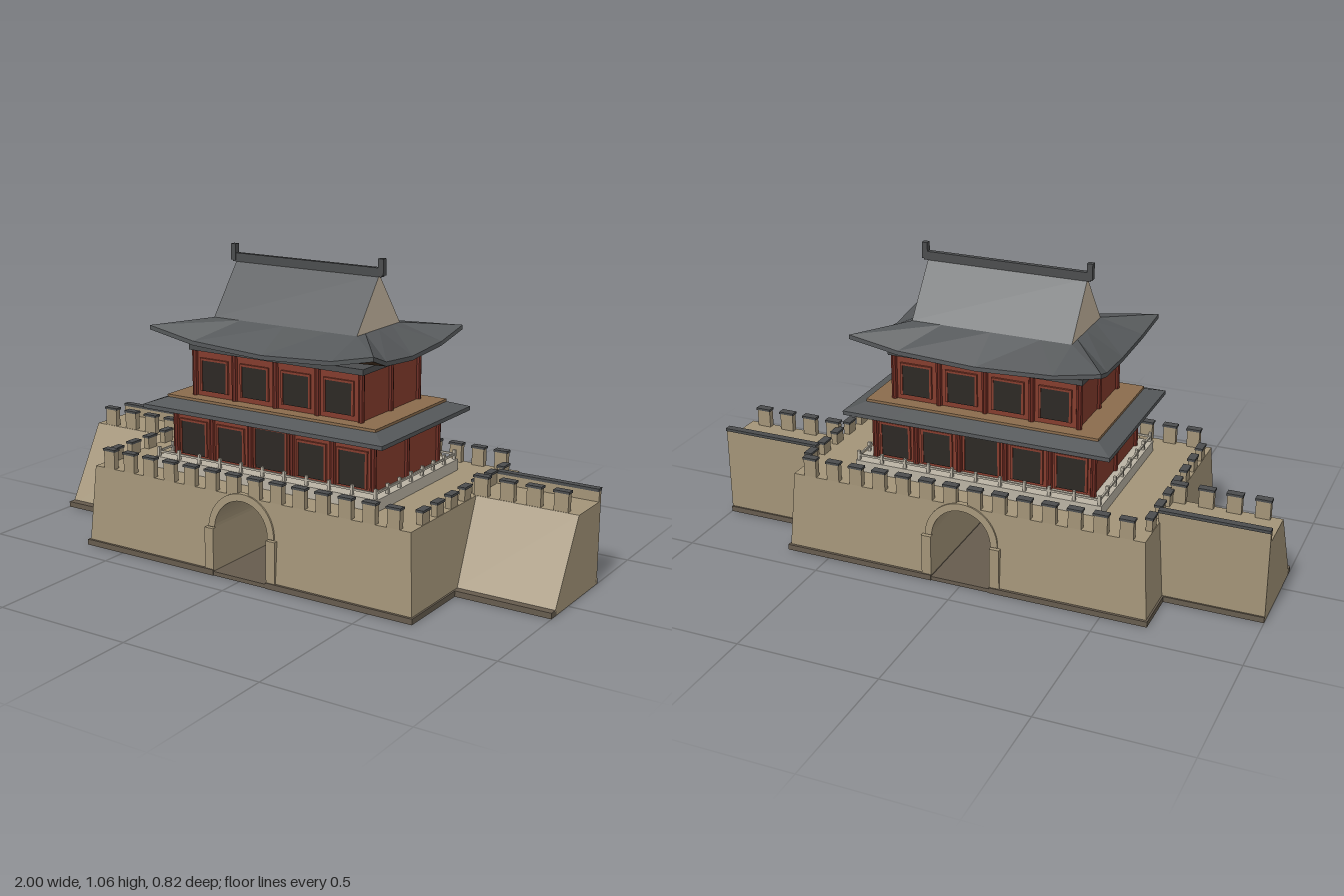
import * as THREE from 'three';

const mat = (color, side = THREE.FrontSide) => new THREE.MeshStandardMaterial({ color, side, flatShading: true });
const WALL_H = 0.29;

export function createModel() {
  const root = new THREE.Group();
  const M = {
    wall: mat(0xa39478), plinth: mat(0x665c4e), cap: mat(0x4b4d4e), stone: mat(0xbab3a4),
    red: mat(0x843c2d), column: mat(0x6b2a20), window: mat(0x2c2824), roof: mat(0x55585a),
    soffit: mat(0x46301f, THREE.DoubleSide), gable: mat(0xc9b9a3), deck: mat(0x8a6c4d),
  };
  const group = (name, parent = root) => {
    const g = new THREE.Group();
    g.name = name;
    parent.add(g);
    return g;
  };
  const add = (name, geo, m, parent = root) => {
    const mesh = new THREE.Mesh(geo, m);
    mesh.name = name;
    parent.add(mesh);
    return mesh;
  };
  // box given by its ranges on each axis
  const box = (name, [x0, x1], [y0, y1], [z0, z1], m, parent) =>
    add(name, new THREE.BoxGeometry(x1 - x0, y1 - y0, z1 - z0)
      .translate((x0 + x1) / 2, (y0 + y1) / 2, (z0 + z1) / 2), m, parent);
  // (z, y) profile extruded along x
  const extrudeX = (pts, x0, x1) => {
    const s = new THREE.Shape(pts.map(([z, y]) => new THREE.Vector2(-z, y)));
    return new THREE.ExtrudeGeometry(s, { depth: x1 - x0, bevelEnabled: false }).rotateY(Math.PI / 2).translate(x0, 0, 0);
  };
  // closed ring around the building; corners flare outward by f and lift
  const ring = (hx, hz, y, f = 0, lift = 0) => {
    const pts = [];
    for (let side = 0; side < 4; side++) {
      const [along, out] = side % 2 ? [hz, hx] : [hx, hz];
      for (const t of [-1, -0.62, 0, 0.62]) {
        const k = Math.abs(t) ** 2.5;
        pts.push(new THREE.Vector3(t * (along + f), y + lift * k, out + f * k)
          .applyAxisAngle(new THREE.Vector3(0, 1, 0), side * Math.PI / 2));
      }
    }
    return pts;
  };
  const loft = (rings) => {
    const n = rings[0].length, idx = [];
    for (let r = 0; r < rings.length - 1; r++) for (let i = 0; i < n; i++) {
      const a = r * n + i, b = r * n + (i + 1) % n;
      idx.push(a, b, b + n, a, b + n, a + n);
    }
    let g = new THREE.BufferGeometry().setFromPoints(rings.flat());
    g.setIndex(idx);
    g = g.toNonIndexed();
    g.computeVertexNormals();
    return g;
  };

  // Battered gate platform with an arched tunnel
  const wallZ = (y) => 0.4 - 0.02 * y / WALL_H;
  const R = 0.107, SPRING = 0.168;
  const s = new THREE.Shape();
  s.moveTo(-0.655, 0).lineTo(-R, 0).lineTo(-R, SPRING);
  s.absarc(0, SPRING, R, Math.PI, 0, true);
  s.lineTo(R, 0).lineTo(0.655, 0).lineTo(0.635, WALL_H).lineTo(-0.635, WALL_H);
  const platform = new THREE.ExtrudeGeometry(s, { depth: 2, bevelEnabled: false, curveSegments: 16 }).translate(0, 0, -1);
  const p = platform.attributes.position;
  for (let i = 0; i < p.count; i++) p.setZ(i, p.getZ(i) * wallZ(p.getY(i)));
  platform.computeVertexNormals();
  add('gatePlatform', platform, M.wall);
  for (const d of [-1, 1]) {
    const xs = d > 0 ? [R, 0.66] : [-0.66, -R];
    box('platformPlinth', xs, [0, 0.02], [-0.408, 0.408], M.plinth);
  }
  box('gateFloor', [-R, R], [0, 0.014], [-0.405, 0.405], M.plinth);

  // Arch surrounds, front and back
  for (const turn of [0, Math.PI]) {
    const g = group('archSurround');
    const a = new THREE.Shape();
    a.absarc(0, SPRING, 0.132, 0, Math.PI, false);
    a.absarc(0, SPRING, R, Math.PI, 0, true);
    const geo = new THREE.ExtrudeGeometry(a, { depth: 0.02, bevelEnabled: false, curveSegments: 16 });
    const q = geo.attributes.position;
    for (let i = 0; i < q.count; i++) q.setZ(i, q.getZ(i) + wallZ(q.getY(i)) - 0.014);
    geo.computeVertexNormals();
    add('archRing', geo, M.wall, g);
    for (const x of [-0.142, R]) box('archJamb', [x, x + 0.035], [0, 0.165], [0.38, 0.404], M.wall, g);
    g.rotation.y = turn;
  }

  // Battlements
  const merlon = (x, z, w, d, top, parent) => {
    box('merlon', [x - w / 2, x + w / 2], [WALL_H, top - 0.008], [z - d / 2, z + d / 2], M.wall, parent);
    box('merlonCap', [x - w / 2 - 0.003, x + w / 2 + 0.003], [top - 0.008, top],
      [z - d / 2 - 0.003, z + d / 2 + 0.003], M.cap, parent);
  };
  const battlements = group('battlements');
  for (const d of [-1, 1]) {
    for (let i = 0; i < 14; i++) merlon((i - 6.5) * 0.088, d * 0.369, 0.046, 0.022, 0.36, battlements);
    for (let i = -3; i <= 3; i++) merlon(d * 0.622, i * 0.0935, 0.022, 0.046, 0.338, battlements);
  }

  // Side walls: sloped front, upright back with a parapet
  for (const d of [-1, 1]) {
    const g = group(d > 0 ? 'leftWall' : 'rightWall');
    const range = (a, b) => (d > 0 ? [a, b] : [-b, -a]);
    const xs = range(0.63, 1);
    add('wallBody', extrudeX([[0.11, 0], [-0.055, WALL_H], [-0.23, WALL_H], [-0.23, 0]], ...xs), M.wall, g);
    box('wallPlinthFront', xs, [0, 0.02], [0.09, 0.127], M.plinth, g);
    box('wallPlinthBack', xs, [0, 0.02], [-0.236, -0.22], M.plinth, g);
    box('backParapet', xs, [WALL_H, 0.325], [-0.23, -0.214], M.wall, g);
    box('parapetCap', xs, [0.325, 0.335], [-0.236, -0.21], M.cap, g);
    for (const x of [0.65, 0.745, 0.84, 0.936]) merlon(d * x, -0.068, 0.05, 0.022, 0.36, g);
  }

  // Stone terrace with balustrade
  const terrace = group('terrace');
  box('terraceBase', [-0.45, 0.45], [WALL_H, 0.33], [-0.275, 0.275], M.stone, terrace);
  const post = (x, z) => box('railPost', [x - 0.005, x + 0.005], [0.33, 0.364], [z - 0.005, z + 0.005], M.stone, terrace);
  for (const d of [-1, 1]) {
    box('railLong', [-0.44, 0.44], [0.345, 0.352], [d * 0.266 - 0.003, d * 0.266 + 0.003], M.stone, terrace);
    box('railShort', [d * 0.44 - 0.003, d * 0.44 + 0.003], [0.345, 0.352], [-0.266, 0.266], M.stone, terrace);
    for (let i = 0; i <= 10; i++) post(-0.44 + i * 0.088, d * 0.266);
    for (let i = 1; i < 7; i++) post(d * 0.44, -0.266 + i * 0.076);
  }

  // One storey: walls, columns and windows in each bay
  const storey = (name, hx, hz, y0, y1, cols, win) => {
    const g = group(name);
    box('walls', [-hx, hx], [y0, y1], [-hz, hz], M.red, g);
    const column = (x, z) => add('column',
      new THREE.CylinderGeometry(0.011, 0.011, y1 - y0, 8).translate(x, (y0 + y1) / 2, z), M.column, g);
    for (const d of [-1, 1]) {
      cols.forEach((x, i) => {
        column(x, d * hz);
        if (i === cols.length - 1) return;
        const c = (x + cols[i + 1]) / 2, z = d * hz, top = win[1] + (c === 0 ? 0.02 : 0);
        const w = c === 0 ? 0.06 : 0.05;
        box('window', [c - w, c + w], [win[0], top], [z - 0.005, z + 0.005], M.window, g);
        for (const e of [-1, 1]) {
          const fx = c + e * (w + 0.004);
          box('windowFrame', [fx - 0.004, fx + 0.004], [win[0], top], [z - 0.008, z + 0.008], M.red, g);
        }
        box('windowHead', [c - w - 0.008, c + w + 0.008], [top, top + 0.008], [z - 0.008, z + 0.008], M.red, g);
      });
      column(d * hx, 0);
    }
  };
  storey('lowerStorey', 0.4, 0.215, 0.33, 0.51, [-0.4, -0.245, -0.085, 0.085, 0.245, 0.4], [0.34, 0.458]);
  storey('upperStorey', 0.335, 0.186, 0.54, 0.715, [-0.335, -0.168, 0, 0.168, 0.335], [0.568, 0.676]);
  box('upperBeam', [-0.35, 0.35], [0.71, 0.73], [-0.202, 0.202], M.cap);

  // Lower skirt roof
  const low = group('lowerRoof');
  const eave = ring(0.48, 0.297, 0.505);
  add('lowerSoffit', loft([ring(0.39, 0.2, 0.5), eave]), M.soffit, low);
  add('lowerTiles', loft([eave, ring(0.48, 0.297, 0.519), ring(0.42, 0.237, 0.541)]), M.roof, low);
  box('upperDeck', [-0.42, 0.42], [0.538, 0.55], [-0.237, 0.237], M.deck, low);

  // Upper hip-and-gable roof with upswept corners
  const up = group('upperRoof');
  const eaveLow = ring(0.416, 0.267, 0.73, 0.028, 0.056);
  const eaveTop = ring(0.416, 0.267, 0.745, 0.028, 0.056);
  add('upperSoffit', loft([ring(0.33, 0.18, 0.742), eaveLow]), M.soffit, up);
  add('upperTiles', loft([eaveLow, eaveTop, ring(0.287, 0.138, 0.82)]), M.roof, up);
  add('gableRoof', extrudeX([[0.138, 0.82], [0, 1.002], [-0.138, 0.82]], -0.287, 0.287), [M.gable, M.roof], up);
  box('ridge', [-0.3, 0.3], [0.995, 1.025], [-0.009, 0.009], M.cap, up);
  for (const d of [-1, 1]) box('ridgeEnd', [d * 0.297 - 0.01, d * 0.297 + 0.01], [1.0, 1.056], [-0.01, 0.01], M.cap, up);

  return root;
}
